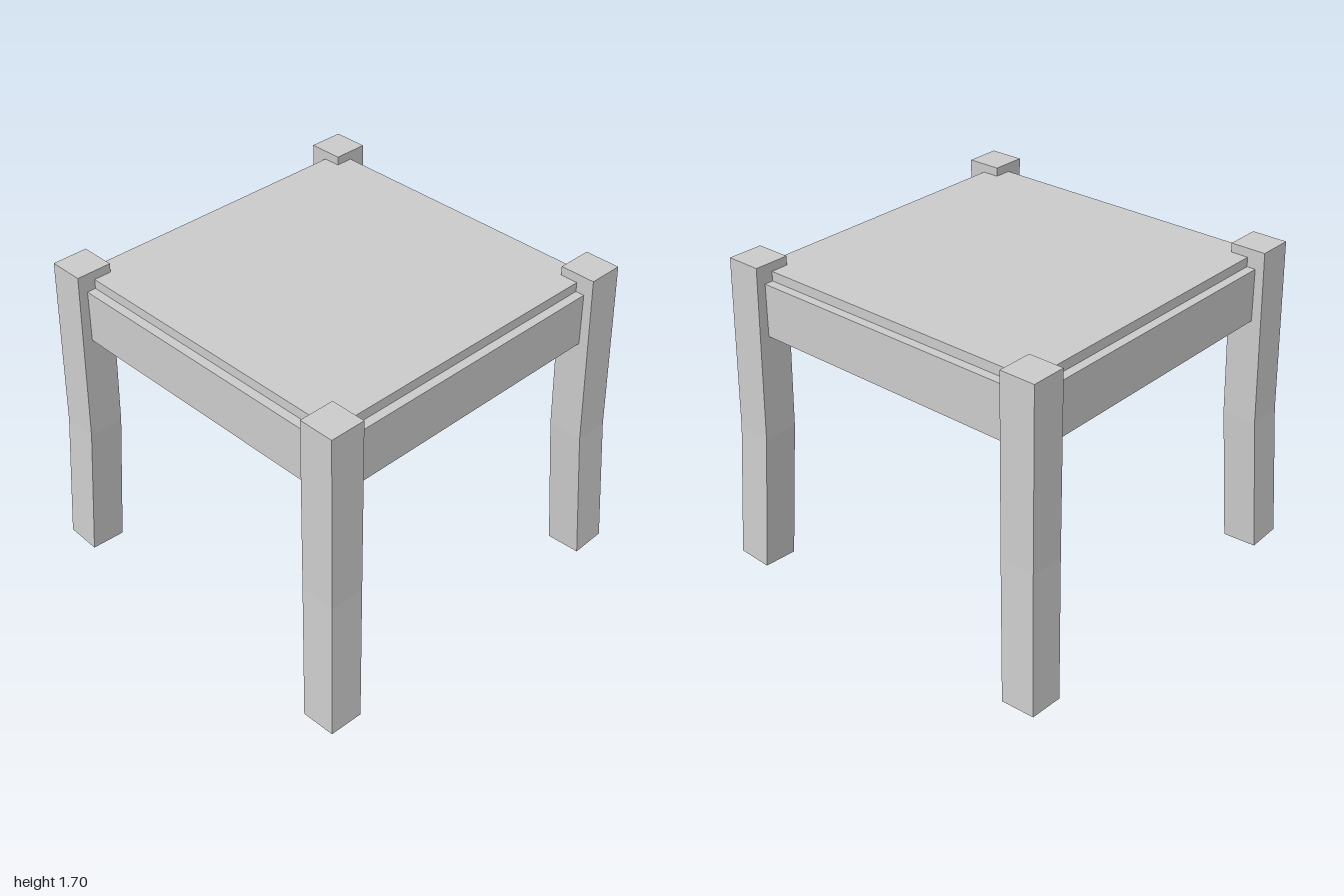
import * as THREE from 'three';

const material = new THREE.MeshStandardMaterial({ color: 0xcccccc, flatShading: true });

// Square leg that splays outward along its diagonal, with a bend below the middle
function legGeometry() {
  const width = 0.188;
  const sections = [ // height, inner offset in x and z
    [0, 0.812],
    [0.77, 0.772],
    [1.702, 0.755],
  ];
  const geo = new THREE.BoxGeometry(1, 2, 1, 1, 2, 1);
  const p = geo.attributes.position;
  for (let i = 0; i < p.count; i++) {
    const [y, inner] = sections[Math.round(p.getY(i)) + 1];
    const u = p.getX(i) + 0.5, v = p.getZ(i) + 0.5;
    // the foot is cut square to the splay, so its outer corner is lifted
    const lift = y === 0 ? 0.01 * (u + v) : 0;
    p.setXYZ(i, inner + u * width, y + lift, inner + v * width);
  }
  geo.computeVertexNormals();
  return geo;
}

export function createModel() {
  const group = new THREE.Group();
  const add = (name, geo, x, y, z, turn = 0) => {
    const pivot = new THREE.Group();
    const mesh = new THREE.Mesh(geo, material);
    mesh.position.set(x, y, z);
    mesh.name = pivot.name = name;
    pivot.rotation.y = turn;
    pivot.add(mesh);
    group.add(pivot);
  };

  // Four legs and four apron rails, repeated by quarter turns
  const leg = legGeometry();
  const rail = new THREE.BoxGeometry(1.58, 0.279, 0.1);
  const legNames = ['frontLeftLeg', 'backLeftLeg', 'backRightLeg', 'frontRightLeg'];
  const railNames = ['frontApron', 'leftApron', 'backApron', 'rightApron'];
  for (let i = 0; i < 4; i++) {
    const turn = i * Math.PI / 2;
    add(legNames[i], leg, 0, 0, 0, turn);
    add(railNames[i], rail, 0, 1.4655, 0.847, turn);
  }

  // Thick seat panel let into the aprons and legs, standing proud of the apron tops
  add('seatPanel', new THREE.BoxGeometry(1.7, 0.092, 1.7), 0, 1.609, 0);
  return group;
}
